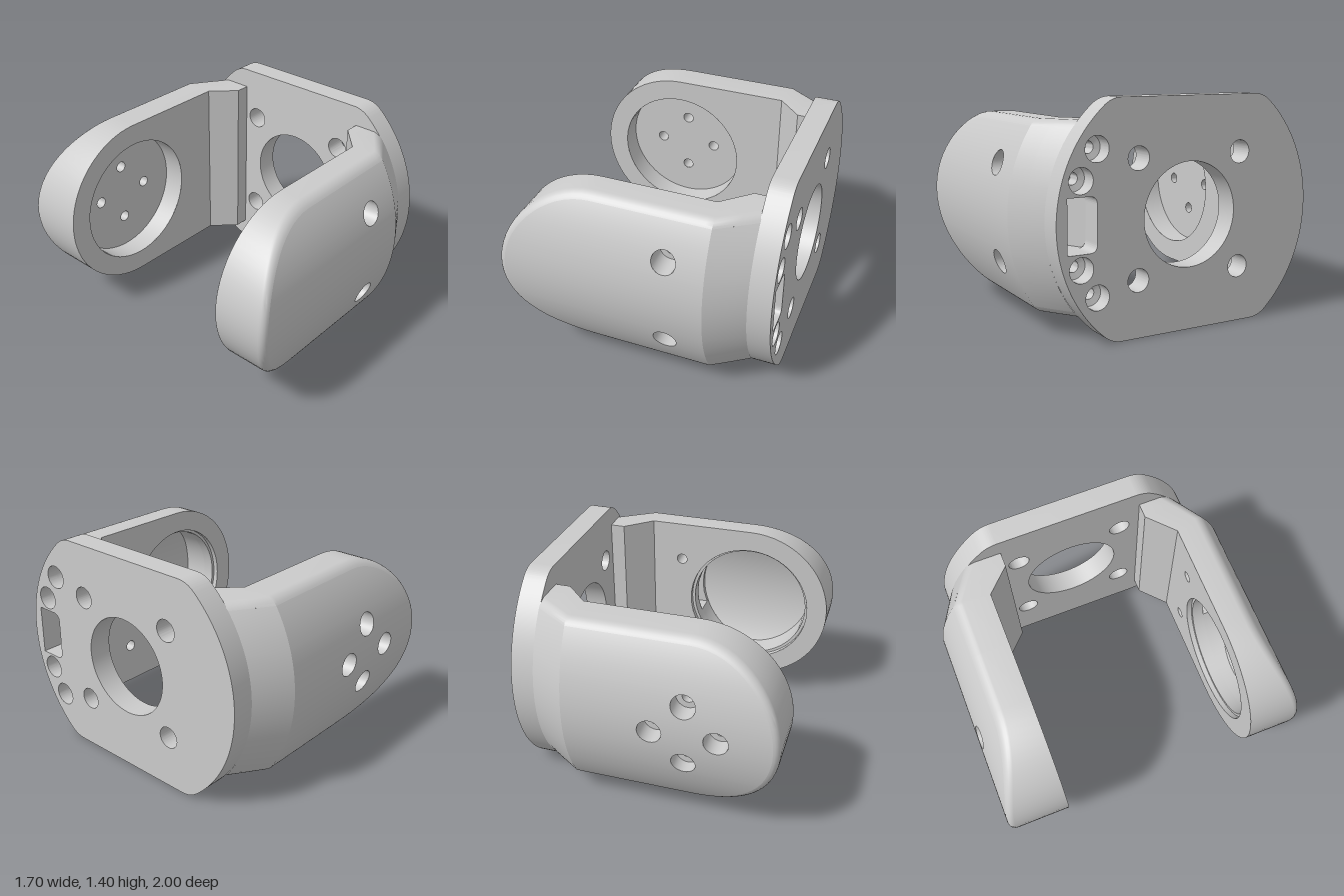
import * as THREE from 'three';
import { toCreasedNormals } from 'three/addons/utils/BufferGeometryUtils.js';

const material = new THREE.MeshStandardMaterial({ color: 0xcccccc, side: THREE.DoubleSide });
const H = 0.57;        // half height of an arm, and radius of its round end
const CX = -0.28;      // centre of the round end
const END = 0.7;       // where the arms run into the plate
const FOLD = 0.47;     // where the outer skin starts to taper
const FILLET = 0.04;

// Outer skin: a cylinder about x that narrows as a cone towards the plate
const outer = (x, y) => {
  const R = 1 - 0.125 * Math.max(0, x - FOLD) / (END - FOLD);
  return Math.sqrt(R * R - y * y);
};
const half = (r, d) => Math.sqrt(Math.max(0, r * r - d * d));

function makeMesh(name, pos) {
  const g = new THREE.BufferGeometry();
  g.setAttribute('position', new THREE.Float32BufferAttribute(pos, 3));
  const mesh = new THREE.Mesh(toCreasedNormals(g, 0.42), material);
  mesh.name = name;
  return mesh;
}

function quad(pos, a, b, c, d, flip) {
  const order = flip ? [a, c, b, a, d, c] : [a, b, c, a, c, d];
  for (const p of order) pos.push(...p);
}

// Skin between successive loops of points
function loft(name, loops, { closed = true, inward = true } = {}) {
  const pos = [];
  for (let i = 0; i < loops.length - 1; i++) {
    const A = loops[i], B = loops[i + 1], n = A.length;
    for (let j = 0; j < (closed ? n : n - 1); j++) {
      const k = (j + 1) % n;
      quad(pos, A[j], A[k], B[k], B[j], inward);
    }
  }
  return makeMesh(name, pos);
}

// Circle or arc whose z follows a rule
function ring(cx, cy, r, z, n = 32, from = 0, to = Math.PI * 2) {
  const full = to - from > 6.28;
  return Array.from({ length: full ? n : n + 1 }, (_, i) => {
    const a = from + (to - from) * i / n;
    const x = cx + r * Math.cos(a), y = cy + r * Math.sin(a);
    return [x, y, typeof z === 'function' ? z(x, y) : z];
  });
}

// Face with round holes, built in horizontal strips between left(y) and right(y)
function face(name, h, left, right, holes, breaks, z, flip) {
  const rows = [];
  const addRows = (cy, r, n) => {
    for (let k = 0; k <= n; k++) rows.push(cy - r * Math.cos(Math.PI * k / n));
  };
  addRows(0, h, 32);
  holes.forEach(([, cy, r]) => addRows(cy, r, r > 0.2 ? 32 : 12));
  const ys = rows.sort((a, b) => a - b).filter((y, i) => !i || y - rows[i - 1] > 1e-6);
  const pos = [];
  for (let i = 0; i < ys.length - 1; i++) {
    const y0 = ys[i], y1 = ys[i + 1], ym = (y0 + y1) / 2;
    const cut = holes.filter(([, cy, r]) => Math.abs(ym - cy) < r).sort((a, b) => a[0] - b[0]);
    const edges = y => [left(y),
      ...cut.flatMap(([cx, cy, r]) => [cx - half(r, y - cy), cx + half(r, y - cy)]), right(y)];
    const e0 = edges(y0), e1 = edges(y1), em = edges(ym);
    for (let j = 0; j < em.length; j += 2) {
      const inside = breaks.filter(b => b > em[j] && b < em[j + 1]);
      const a = [e0[j], ...inside, e0[j + 1]], b = [e1[j], ...inside, e1[j + 1]];
      const P = (x, y) => [x, y, z(x, y)];
      for (let k = 0; k < a.length - 1; k++)
        quad(pos, P(a[k], y0), P(a[k + 1], y0), P(b[k + 1], y1), P(b[k], y1), flip);
    }
  }
  return makeMesh(name, pos);
}

const disc = (name, r, holes, z) => face(name, r,
  y => CX - half(r, y), y => CX + half(r, y), holes, [], z, true);

// Counterbored screw hole: narrow from the inside, wide from the outer skin
const screwHole = ([cx, cy], zIn, zShelf) => loft('screwHole', [
  ring(cx, cy, 0.037, zIn), ring(cx, cy, 0.037, zShelf),
  ring(cx, cy, 0.075, zShelf), ring(cx, cy, 0.075, outer)]);

// Arm shell, shared by both arms
function armShell({ zIn, zFoot, bend, innerHoles, outerHoles }) {
  const g = new THREE.Group();
  const inner = x => zIn + (zFoot - zIn) * Math.min(1, Math.max(0, (x - bend) / (0.6 - bend)));
  const path = (off, z) => {
    const r = H - off, xs = [END, 0.6, FOLD, bend, 0.1];
    return [...xs.map(x => [x, r]),
      ...ring(CX, 0, r, 0, 32, Math.PI / 2, Math.PI * 1.5),
      ...xs.reverse().map(x => [x, -r])].map(([x, y]) => [x, y, z(x, y)]);
  };
  const sides = [path(0, inner)];
  for (let k = 0; k <= 5; k++) {
    const a = k * Math.PI / 10;
    sides.push(path(FILLET * (1 - Math.cos(a)), (x, y) => outer(x, y) - FILLET * (1 - Math.sin(a))));
  }
  const r = H - FILLET;
  g.add(
    loft('armSides', sides, { closed: false, inward: false }),
    face('armOuterFace', r, y => CX - half(r, y), () => END, outerHoles, [FOLD, 0.58], outer, false),
    face('armInnerFace', H, y => CX - half(H, y), () => END, innerHoles, [bend, 0.6], inner, true));
  return g;
}

// Front arm: deep stepped pocket, two screws, cable tunnel to the plate
function frontArm() {
  const zIn = 0.645, screws = [[0.22, 0.3], [0.22, -0.3]];
  const g = armShell({
    zIn, zFoot: 0.49, bend: 0.43,
    innerHoles: [[CX, 0, 0.43], ...screws.map(s => [...s, 0.037])],
    outerHoles: screws.map(s => [...s, 0.075]),
  });
  g.name = 'frontArm';
  screws.forEach(s => g.add(screwHole(s, zIn, 0.82)));
  const r = 0.41, floor = (x, y) => Math.sqrt(0.94 ** 2 - y * y);
  const t0 = 0.76, t1 = 0.9, w = 0.16, a = Math.asin(w / r);
  g.add(
    loft('pocketRim', [ring(CX, 0, 0.43, zIn, 64), ring(CX, 0, 0.43, 0.68, 64),
      ring(CX, 0, r, 0.68, 64), ring(CX, 0, r, t0, 64)]),
    loft('pocketWall', [t0, floor].map(z => ring(CX, 0, r, z, 56, a, Math.PI * 2 - a)), { closed: false }),
    loft('pocketWallAtTunnel', [t1, floor].map(z => ring(CX, 0, r, z, 8, -a, a)), { closed: false }),
    disc('pocketFloor', r, [], floor));
  const ys = [-w, -w / 2, 0, w / 2, w];
  const section = (x, lo, hi) => [...ys.map(y => [x(y), y, lo]), ...[...ys].reverse().map(y => [x(y), y, hi])];
  g.add(loft('cableTunnel', [section(() => END, 0.62, 0.8), section(() => 0.43, t0, t1),
    section(y => CX + half(r, y), t0, t1)], { inward: false }));
  return g;
}

// Back arm: shallow pocket with four screws; built facing +z, then turned over
function backArm() {
  const zIn = 0.605, zFloor = 0.76, r = 0.43;
  const screws = [0, 1, 2, 3].map(i => [CX + 0.2 * Math.cos(i * Math.PI / 2), 0.2 * Math.sin(i * Math.PI / 2)]);
  const g = armShell({
    zIn, zFoot: 0.455, bend: 0.45,
    innerHoles: [[CX, 0, r]], outerHoles: screws.map(s => [...s, 0.075]),
  });
  g.name = 'backArm';
  g.add(loft('pocketWall', [ring(CX, 0, r, zIn, 64), ring(CX, 0, r, zFloor, 64)]),
    disc('pocketFloor', r, screws.map(s => [...s, 0.037]), () => zFloor));
  screws.forEach(s => g.add(screwHole(s, zFloor, 0.87)));
  g.rotation.x = Math.PI;
  return g;
}

// Mounting plate: disc with flat top and bottom; the shape's x is -z of the model
function plate() {
  const g = new THREE.Group();
  g.name = 'mountingPlate';
  const R = 0.873, a = 0.86, s = new THREE.Shape();
  s.moveTo(0.46, -0.7);
  s.quadraticCurveTo(0.52, -0.7, R * Math.cos(a), -R * Math.sin(a));
  s.absarc(0, 0, R, -a, a, false);
  s.quadraticCurveTo(0.52, 0.7, 0.46, 0.7);
  s.lineTo(-0.46, 0.7);
  s.quadraticCurveTo(-0.52, 0.7, -R * Math.cos(a), R * Math.sin(a));
  s.absarc(0, 0, R, Math.PI - a, Math.PI + a, false);
  s.quadraticCurveTo(-0.52, -0.7, -0.46, -0.7);
  const hole = (u, v, r) => s.holes.push(new THREE.Path().absarc(u, v, r, 0, Math.PI * 2, true));
  hole(0, 0, 0.317);
  for (const u of [-0.354, 0.354]) for (const v of [-0.354, 0.354]) hole(u, v, 0.07);

  // Screw seats above and below the cable slot
  const profile = [[0.075, 0.08], [0.075, 0.04], [0.036, 0.03], [0.036, -0.06], [0.001, -0.06]]
    .map(p => new THREE.Vector2(...p));
  for (const [z, y] of [[0.62, 0.42], [0.72, 0.25], [0.72, -0.25], [0.62, -0.42]]) {
    hole(-z, y, 0.075);
    const seat = new THREE.Mesh(toCreasedNormals(new THREE.LatheGeometry(profile, 32), 0.5), material);
    seat.name = 'screwSeat';
    seat.rotation.z = -Math.PI / 2;
    seat.position.set(END, y, z);
    g.add(seat);
  }
  const slot = new THREE.Path();
  slot.moveTo(-0.805, -0.16);
  slot.lineTo(-0.805, 0.16);
  slot.lineTo(-0.67, 0.16);
  slot.quadraticCurveTo(-0.62, 0.16, -0.62, 0.11);
  slot.lineTo(-0.62, -0.11);
  slot.quadraticCurveTo(-0.62, -0.16, -0.67, -0.16);
  s.holes.push(slot);

  const geo = new THREE.ExtrudeGeometry(s, { depth: 0.15, bevelEnabled: false, curveSegments: 40 });
  const body = new THREE.Mesh(toCreasedNormals(geo.rotateY(Math.PI / 2), 0.4), material);
  body.name = 'plate';
  body.position.x = 0.695;
  g.add(body);
  return g;
}

export function createModel() {
  const model = new THREE.Group();
  model.name = 'forkBracket';
  model.add(plate(), frontArm(), backArm());
  model.children.forEach(c => { c.position.y = 0.7; });
  return model;
}
